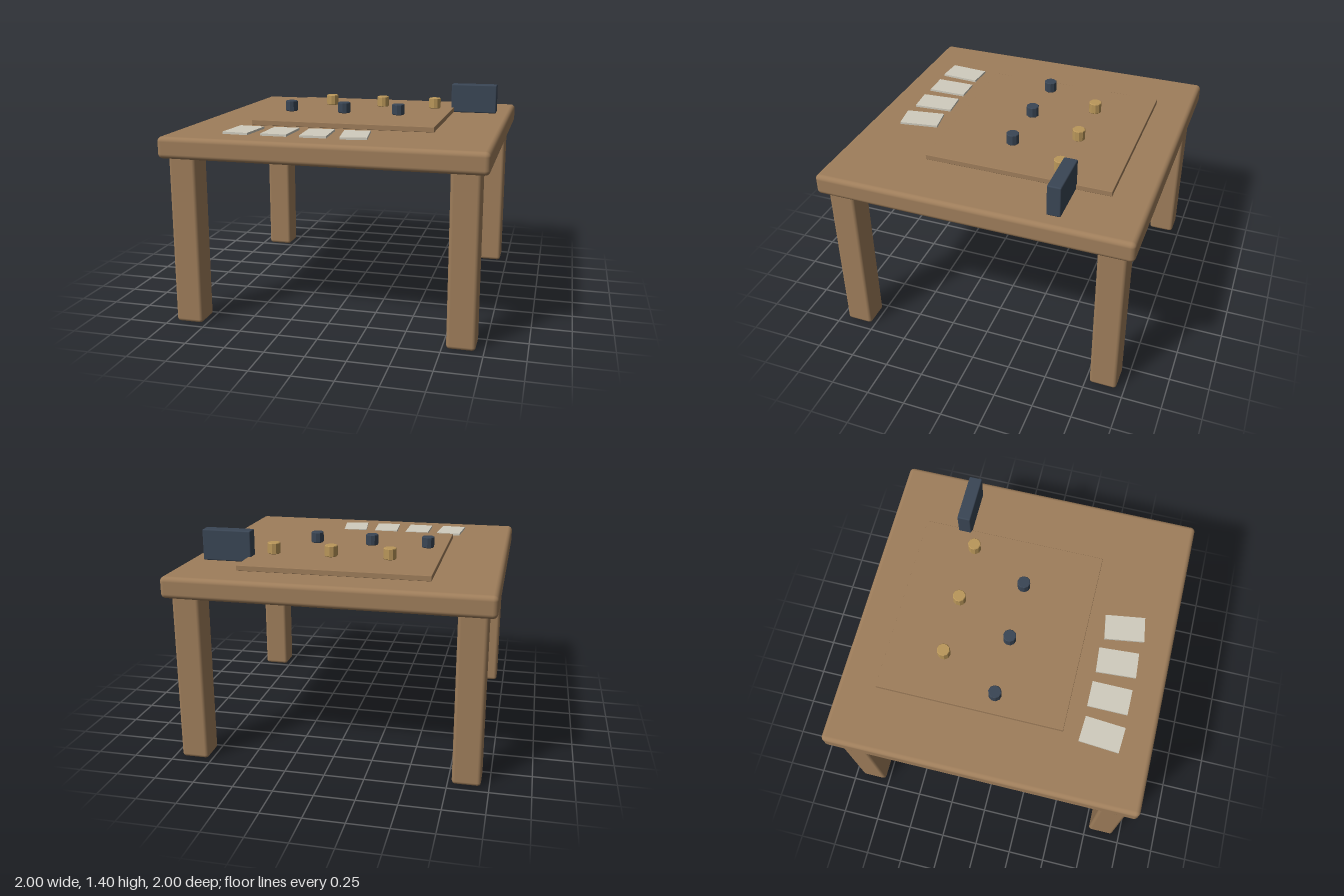
import * as THREE from 'three';
import { RoundedBoxGeometry } from 'three/addons/geometries/RoundedBoxGeometry.js';

export function createModel() {
  const group = new THREE.Group();
  const mat = (name, color, flatShading = false) =>
    Object.assign(new THREE.MeshStandardMaterial({ color, flatShading }), { name });
  const wood = mat('wood', 0x9f7e5b);
  const slate = mat('slate', 0x3a4655);
  const brass = mat('brass', 0xba975a);
  const paper = mat('paper', 0xd0ccbe);

  const add = (name, geometry, material, x, y, z, turn = 0) => {
    const mesh = new THREE.Mesh(geometry, material);
    mesh.name = name;
    mesh.position.set(x, y, z);
    mesh.rotation.y = turn;
    group.add(mesh);
  };

  // Table top and four square legs with softened edges
  add('tableTop', new RoundedBoxGeometry(2, 0.135, 2, 3, 0.03), wood, 0, 1.1325, 0);
  const leg = new RoundedBoxGeometry(0.175, 1.08, 0.175, 2, 0.022);
  for (const x of [-1, 1]) {
    for (const z of [-1, 1]) add('leg', leg, wood, x * 0.8625, 0.54, z * 0.8625);
  }

  // Playing board
  add('board', new RoundedBoxGeometry(1.2, 0.034, 1.2, 1, 0.003), wood, 0, 1.217, -0.16);

  // Ten-sided pieces with a tiny bevel on both rims
  const profile = [[0, 0], [0.038, 0], [0.042, 0.004], [0.042, 0.068], [0.038, 0.072], [0, 0.072]];
  const piece = new THREE.LatheGeometry(profile.map(([r, y]) => new THREE.Vector2(r, y)), 10)
    .toNonIndexed();
  piece.computeVertexNormals();
  for (let i = 0; i < 3; i++) {
    add('darkPiece', piece, slate, -0.48 + i * 0.38, 1.234, -0.02);
    add('brassPiece', piece, brass, -0.29 + i * 0.38, 1.234, -0.4);
  }

  // Row of slightly turned cards
  const card = new THREE.BoxGeometry(0.165, 0.014, 0.255);
  [-0.07, 0, 0.07, 0.15].forEach((turn, i) =>
    add('card', card, paper, -0.562 + i * 0.24, 1.207, 0.677, turn));

  // Upright box at the side of the board
  add('uprightBox', new RoundedBoxGeometry(0.32, 0.2, 0.086, 2, 0.008), slate, 0.74, 1.3, -0.497);

  return group;
}
